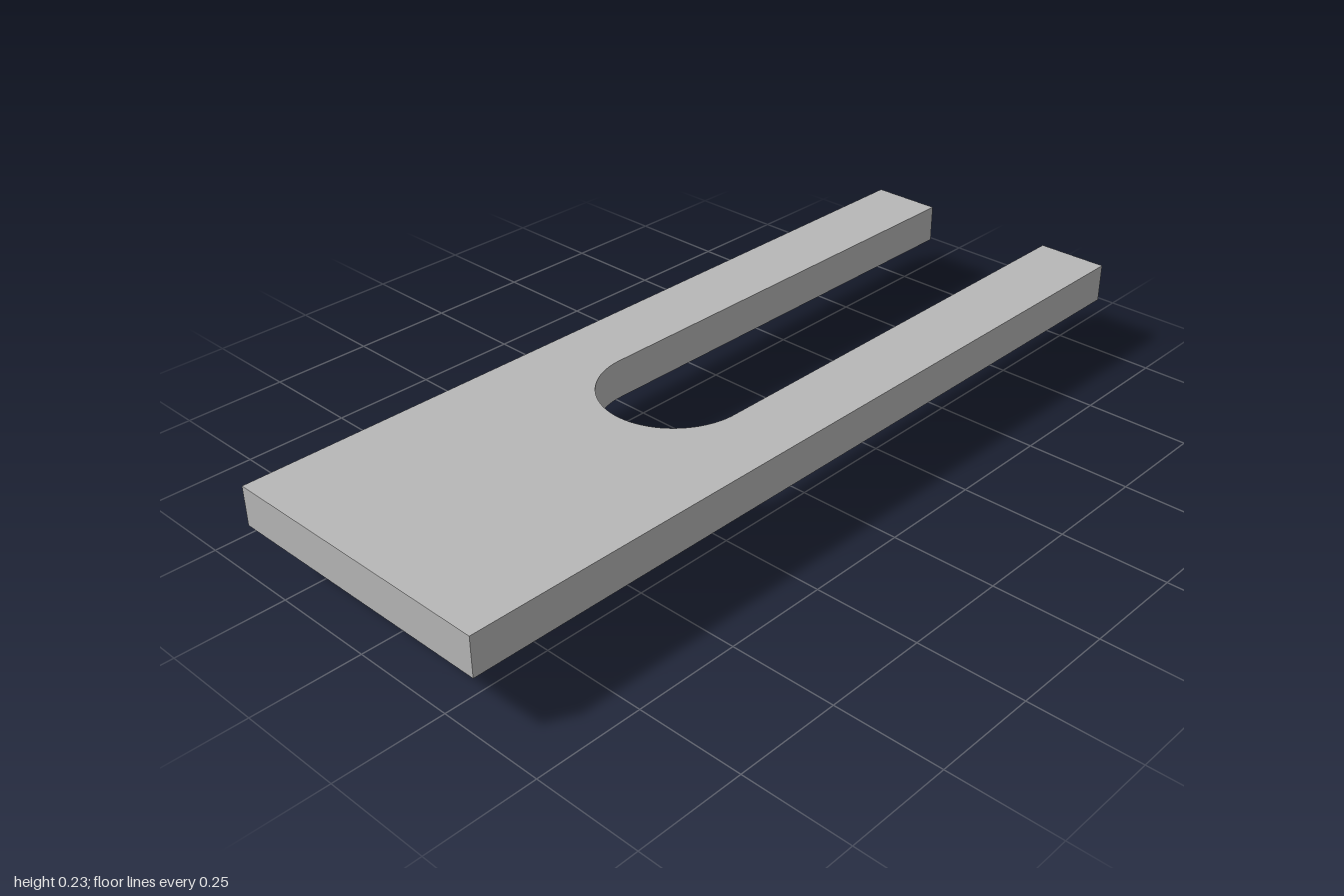
import * as THREE from 'three';
import { toCreasedNormals } from 'three/addons/utils/BufferGeometryUtils.js';

const HALF_WIDTH = 0.345, SLOT_RADIUS = 0.172, SLOT_CENTRE = -0.143;
const PLATE_BOTTOM = 0.135, PLATE_TOP = 0.228;
const STUD_X = -0.75;

export function createModel() {
  const model = new THREE.Group();
  model.name = 'slottedPlate';
  const grey = new THREE.MeshStandardMaterial({ color: 0xb8b8b8 });
  grey.name = 'grey';

  // Forked plate: rectangle with a round-ended slot open at +x
  const outline = new THREE.Shape();
  outline.moveTo(-1, -HALF_WIDTH);
  outline.lineTo(1, -HALF_WIDTH);
  outline.lineTo(1, -SLOT_RADIUS);
  outline.lineTo(SLOT_CENTRE, -SLOT_RADIUS);
  outline.absarc(SLOT_CENTRE, 0, SLOT_RADIUS, -Math.PI / 2, Math.PI / 2, true);
  outline.lineTo(1, SLOT_RADIUS);
  outline.lineTo(1, HALF_WIDTH);
  outline.lineTo(-1, HALF_WIDTH);
  outline.closePath();
  const plateGeometry = new THREE.ExtrudeGeometry(outline, {
    depth: PLATE_TOP - PLATE_BOTTOM, bevelEnabled: false, curveSegments: 40,
  });
  plateGeometry.rotateX(-Math.PI / 2);
  const plate = new THREE.Mesh(toCreasedNormals(plateGeometry, 0.5), grey);
  plate.name = 'forkedPlate';
  plate.position.y = PLATE_BOTTOM;
  model.add(plate);

  // Stud under the closed end: foot disc, tapered collar and neck
  const stud = new THREE.Group();
  stud.name = 'stud';
  stud.position.x = STUD_X;
  const sections = [
    ['footDisc', 0.1, 0.1, 0, 0.026, false],
    ['taperedCollar', 0.1, 0.062, 0.026, 0.064, true],
    ['neck', 0.062, 0.062, 0.064, PLATE_BOTTOM, true],
  ];
  for (const [name, bottomRadius, topRadius, y0, y1, open] of sections) {
    const section = new THREE.Mesh(
      new THREE.CylinderGeometry(topRadius, bottomRadius, y1 - y0, 64, 1, open), grey);
    section.name = name;
    section.position.y = (y0 + y1) / 2;
    stud.add(section);
  }
  model.add(stud);

  return model;
}
